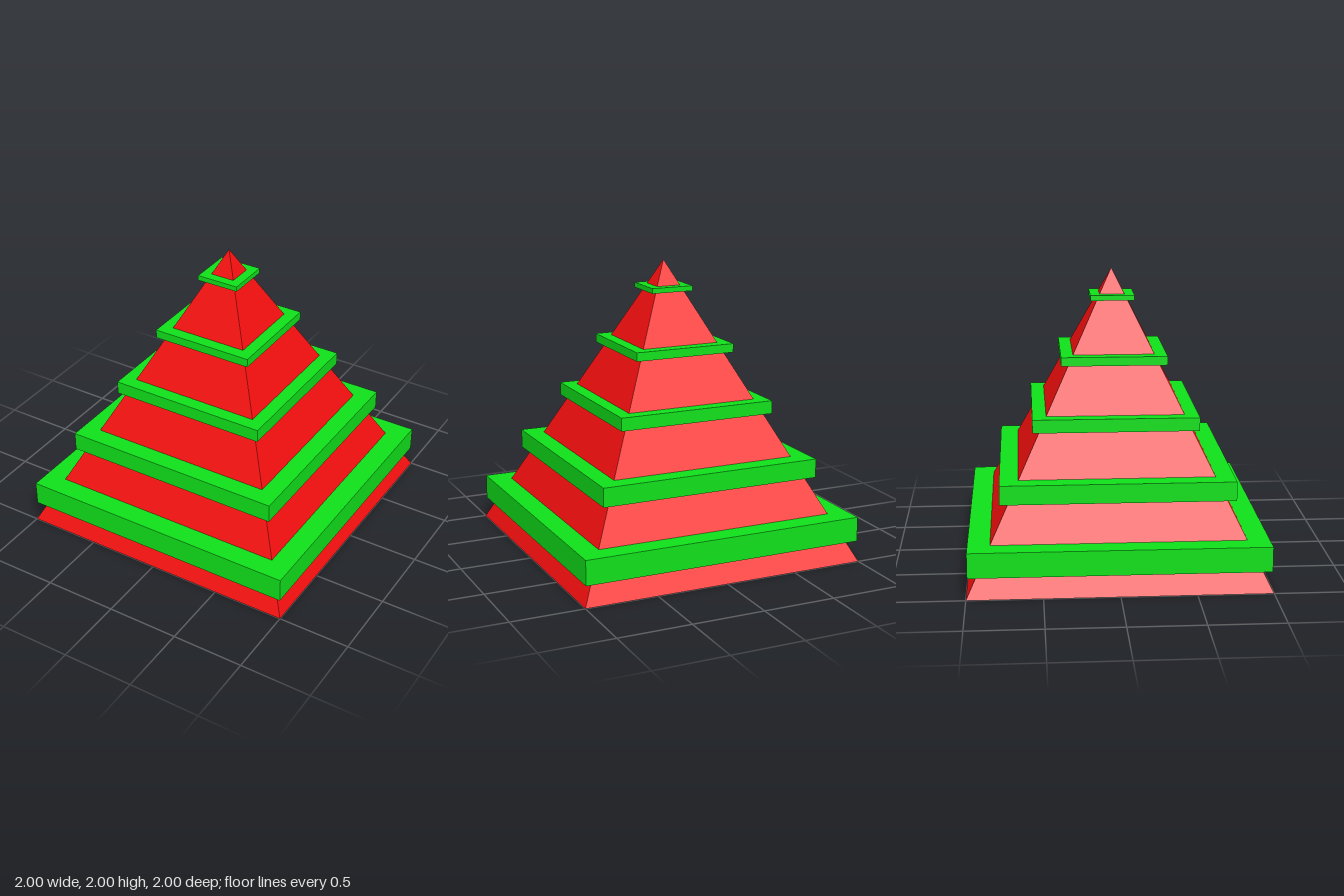
import * as THREE from 'three';

export function createModel() {
  const group = new THREE.Group();
  const red = new THREE.MeshStandardMaterial({ color: 0xf50f0f, flatShading: true });
  const green = new THREE.MeshStandardMaterial({ color: 0x10e01a, flatShading: true });

  // Square pyramid, 2 wide and 2 tall
  const body = new THREE.ConeGeometry(Math.SQRT2, 2, 4);
  body.rotateY(Math.PI / 4).translate(0, 1, 0);
  const pyramid = new THREE.Mesh(body, red);
  pyramid.name = 'pyramid';
  group.add(pyramid);

  // Square slabs through the pyramid: half width, bottom, top
  const bands = [
    [0.99, 0.145, 0.315],
    [0.778, 0.565, 0.695],
    [0.555, 0.985, 1.075],
    [0.357, 1.39, 1.45],
    [0.149, 1.795, 1.83],
  ];
  bands.forEach(([half, bottom, top], i) => {
    const band = new THREE.Mesh(new THREE.BoxGeometry(half * 2, top - bottom, half * 2), green);
    band.position.y = (bottom + top) / 2;
    band.name = `band${i + 1}`;
    group.add(band);
  });

  return group;
}
